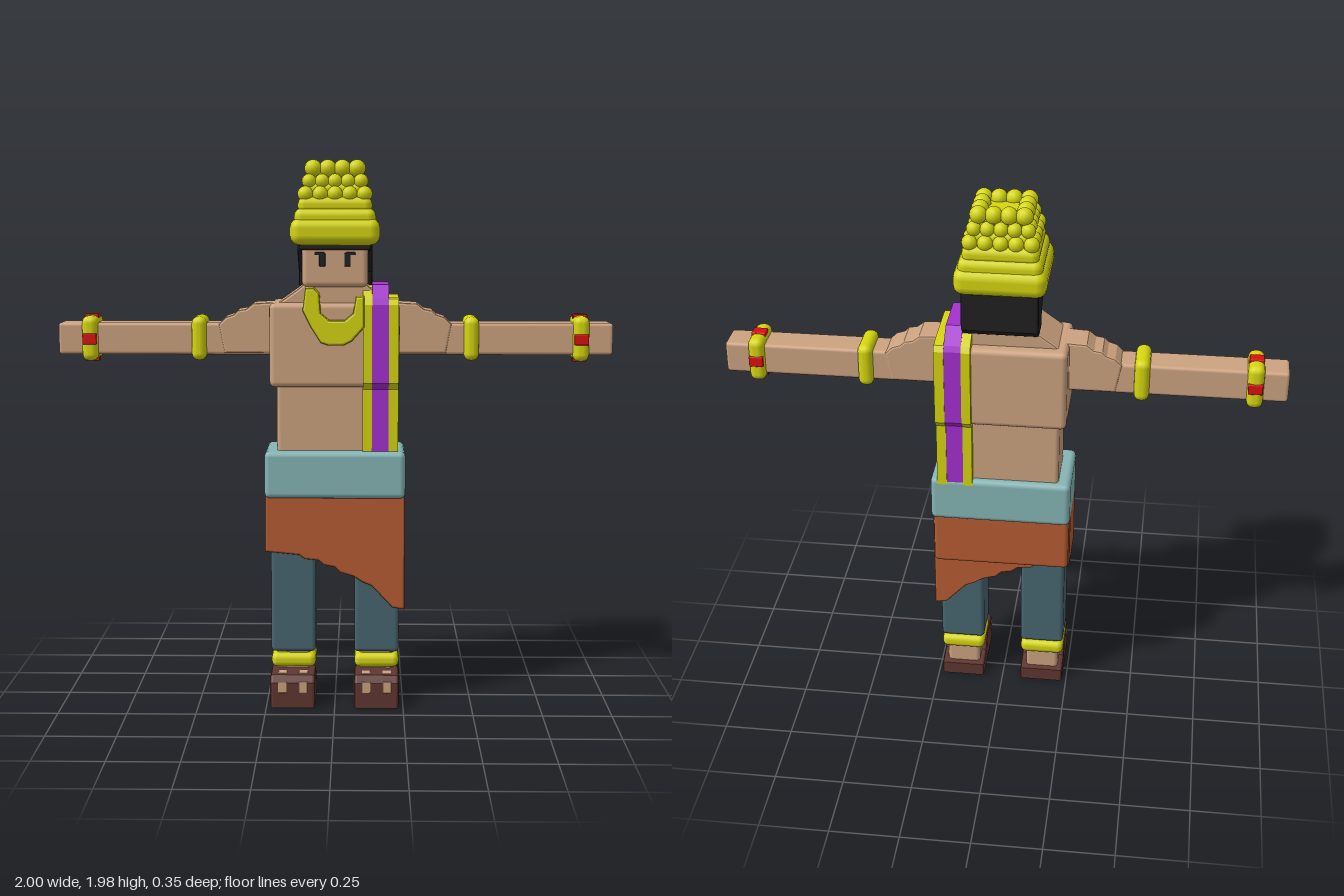
import * as THREE from 'three';
import { RoundedBoxGeometry } from 'three/addons/geometries/RoundedBoxGeometry.js';

const mat = (name, color) => {
  const m = new THREE.MeshStandardMaterial({ color });
  m.name = name;
  return m;
};

export function createModel() {
  const root = new THREE.Group();
  root.name = 'blockFigure';
  const skin = mat('skin', 0xcda380), gold = mat('gold', 0xd6d60f), purple = mat('purple', 0xa530d0);
  const teal = mat('teal', 0x86b5b5), orange = mat('orange', 0xb65c32), slate = mat('slate', 0x476570);
  const brown = mat('brown', 0x5f3630), black = mat('black', 0x202020), red = mat('red', 0xdc0f0f);

  const add = (name, geo, material) => {
    const mesh = new THREE.Mesh(geo, material);
    mesh.name = name;
    root.add(mesh);
    return mesh;
  };
  // Rounded box given by its limits on each axis
  const box = (name, m, [x0, x1], [y0, y1], [z0, z1], r = 0.015) => {
    const g = new RoundedBoxGeometry(x1 - x0, y1 - y0, z1 - z0, 2, r);
    g.translate((x0 + x1) / 2, (y0 + y1) / 2, (z0 + z1) / 2);
    return add(name, g, m);
  };
  const shapeOf = (pts) => new THREE.Shape(pts.map(([a, b]) => new THREE.Vector2(a, b)));
  const solid = (shape, depth, bevel) => {
    const b = bevel;
    const g = new THREE.ExtrudeGeometry(shape, {
      depth: depth - 2 * b, bevelEnabled: b > 0, bevelThickness: b, bevelSize: b, bevelOffset: -b, bevelSegments: 2,
    });
    return g.translate(0, 0, b);
  };
  // Front outline (x, y) pushed through z
  const frontSolid = (name, m, pts, z0, z1, bevel = 0) =>
    add(name, solid(shapeOf(pts), z1 - z0, bevel).translate(0, 0, z0), m);
  // Side outline (z, y) pushed through x
  const sideSolid = (name, m, shape, x0, x1, bevel = 0) =>
    add(name, solid(shape, x1 - x0, bevel).rotateY(-Math.PI / 2).translate(x1, 0, 0), m);

  // Legs, anklets and sandals
  const sandal = shapeOf([[-0.08, 0], [0.175, 0], [0.175, 0.095], [0.155, 0.12], [0.03, 0.12],
    [0, 0.065], [-0.08, 0.05]]);
  for (const s of [-1, 1]) {
    const c = s * 0.153;
    const span = (w) => [c - w, c + w];
    box('trouserLeg', slate, span(0.082), [0.185, 0.62], [-0.08, 0.08]);
    box('ankle', skin, span(0.062), [0.03, 0.2], [-0.06, 0.06]);
    box('anklet', gold, span(0.082), [0.125, 0.178], [-0.08, 0.08], 0.022);
    sideSolid('sandal', brown, sandal, c - 0.082, c + 0.082, 0.01);
    for (const dx of [-0.038, 0.038]) {
      box('toePatch', skin, [c + dx - 0.016, c + dx + 0.016], [0.058, 0.1], [0.169, 0.177], 0.002);
      box('footTopPatch', skin, [c + dx - 0.016, c + dx + 0.016], [0.115, 0.122], [0.095, 0.14], 0.002);
      box('footSidePatch', skin, [c + Math.sign(dx) * 0.08 - 0.004, c + Math.sign(dx) * 0.08 + 0.004],
        [0.06, 0.1], [0.13, 0.155], 0.002);
    }
  }

  // Slanted wrap skirt with an overlapping back layer
  frontSolid('wrapSkirt', orange, [[-0.255, 0.8], [-0.255, 0.567], [-0.13, 0.555], [-0.11, 0.54], [-0.06, 0.535],
    [-0.04, 0.518], [0, 0.51], [0.02, 0.49], [0.07, 0.475], [0.1, 0.455], [0.135, 0.44], [0.21, 0.36],
    [0.255, 0.352], [0.255, 0.8]], -0.1, 0.105, 0.008);
  box('skirtBackLayer', orange, [-0.25, 0.25], [0.565, 0.8], [-0.125, -0.04]);
  box('waistband', teal, [-0.255, 0.255], [0.768, 0.94], [-0.15, 0.128], 0.02);

  // Torso
  box('lowerTorso', skin, [-0.21, 0.21], [0.9, 1.22], [-0.125, 0.088]);
  box('chest', skin, [-0.235, 0.232], [1.172, 1.475], [-0.152, 0.115], 0.02);
  frontSolid('neckSlope', skin, [[-0.2, 1.45], [-0.2, 1.475], [-0.13, 1.525], [-0.1, 1.55], [0.1, 1.55],
    [0.13, 1.525], [0.2, 1.475], [0.2, 1.45]], -0.11, 0.09, 0.008);

  // Shoulder sash: closed bands running over the shoulder, front and back
  const band = (name, m, x0, x1, top, grow) => {
    const o = grow;
    const s = shapeOf([[0.105 + o, 0.92], [0.105 + o, 1.165], [0.125 + o, 1.19], [0.125 + o, 1.47], [0.115, 1.49],
      [0.08, top], [-0.1, top], [-0.16, 1.49], [-0.17 - o, 1.47], [-0.17 - o, 1.19],
      [-0.147 - o, 1.165], [-0.147 - o, 0.92]]);
    s.holes.push(new THREE.Path([[0.062, 0.93], [-0.105, 0.93], [-0.105, 1.18], [-0.145, 1.21],
      [-0.145, 1.46], [0.1, 1.46], [0.1, 1.21], [0.062, 1.18]].map(([a, b]) => new THREE.Vector2(a, b))));
    sideSolid(name, m, s, x0, x1);
  };
  band('sashInnerTrim', gold, 0.1, 0.133, 1.53, 0.003);
  band('sashCentre', purple, 0.133, 0.193, 1.54, 0);
  band('sashOuterTrim', gold, 0.193, 0.228, 1.495, 0.003);

  // Collar necklace
  frontSolid('necklace', gold, [[-0.105, 1.53], [-0.115, 1.45], [-0.085, 1.39], [-0.05, 1.335], [-0.02, 1.325],
    [0.03, 1.325], [0.06, 1.34], [0.105, 1.39], [0.105, 1.5], [0.075, 1.5], [0.065, 1.44], [0.035, 1.415],
    [-0.02, 1.415], [-0.05, 1.44], [-0.055, 1.51], [-0.075, 1.53]], 0.08, 0.14, 0.008);

  // Arms with bands
  for (const s of [-1, 1]) {
    const span = (a, b) => (s > 0 ? [a, b] : [-b, -a]);
    box('arm', skin, span(0.2, 1), [1.285, 1.4], [-0.058, 0.058], 0.012);
    const pts = [[0.2, 1.29], [0.4, 1.29], [0.42, 1.395], [0.395, 1.42], [0.365, 1.43], [0.35, 1.445],
      [0.32, 1.45], [0.295, 1.47], [0.2, 1.475]].map(([x, y]) => [s * x, y]);
    frontSolid('shoulder', skin, pts, -0.062, 0.062, 0.008);
    box('armBand', gold, span(0.463, 0.518), [1.265, 1.423], [-0.08, 0.08], 0.025);
    box('wristBand', gold, span(0.855, 0.914), [1.262, 1.425], [-0.08, 0.08], 0.025);
    box('wristGemAcross', red, span(0.859, 0.91), [1.323, 1.362], [-0.084, 0.084], 0.004);
    box('wristGemUpright', red, span(0.859, 0.91), [1.258, 1.429], [-0.022, 0.022], 0.004);
  }

  // Head, hair and face
  box('head', skin, [-0.118, 0.118], [1.53, 1.7], [-0.1, 0.102], 0.02);
  sideSolid('hair', black, shapeOf([[0.085, 1.7], [0.085, 1.66], [0.055, 1.635], [0.01, 1.605], [-0.03, 1.58],
    [-0.045, 1.525], [-0.125, 1.525], [-0.152, 1.55], [-0.152, 1.7]]), -0.134, 0.134, 0.008);
  box('fringe', black, [-0.128, 0.128], [1.662, 1.7], [0.04, 0.106], 0.008);
  for (const s of [-1, 1]) {
    box('eye', black, [s * 0.045 - 0.011, s * 0.045 + 0.011], [1.605, 1.652], [0.097, 0.104], 0.002);
    box('brow', black, [s * 0.055 - 0.018, s * 0.055 + 0.018], [1.645, 1.655], [0.097, 0.104], 0.002);
  }

  // Tiered crown
  const zc = -0.01;
  [[0.16, 1.68, 1.775, 0.035], [0.145, 1.745, 1.81, 0.028], [0.132, 1.79, 1.85, 0.026],
    [0.108, 1.82, 1.9, 0.025], [0.078, 1.87, 1.945, 0.025]].forEach(([h, y0, y1, r]) =>
    box('crownTier', gold, [-h, h], [y0, y1], [zc - h, zc + h], r));
  // Square rings of beads stacked on the tiers
  const bead = new THREE.SphereGeometry(1, 12, 8);
  for (const [half, y, n, r] of [[0.105, 1.86, 5, 0.028], [0.092, 1.905, 5, 0.026], [0.078, 1.95, 4, 0.031]]) {
    for (let i = 0; i < n; i++) for (let j = 0; j < n; j++) {
      if (i % (n - 1) && j % (n - 1)) continue;
      const m = add('crownBead', bead, gold);
      m.scale.setScalar(r);
      m.position.set(-half + (2 * half * i) / (n - 1), y, zc - half + (2 * half * j) / (n - 1));
    }
  }
  return root;
}
